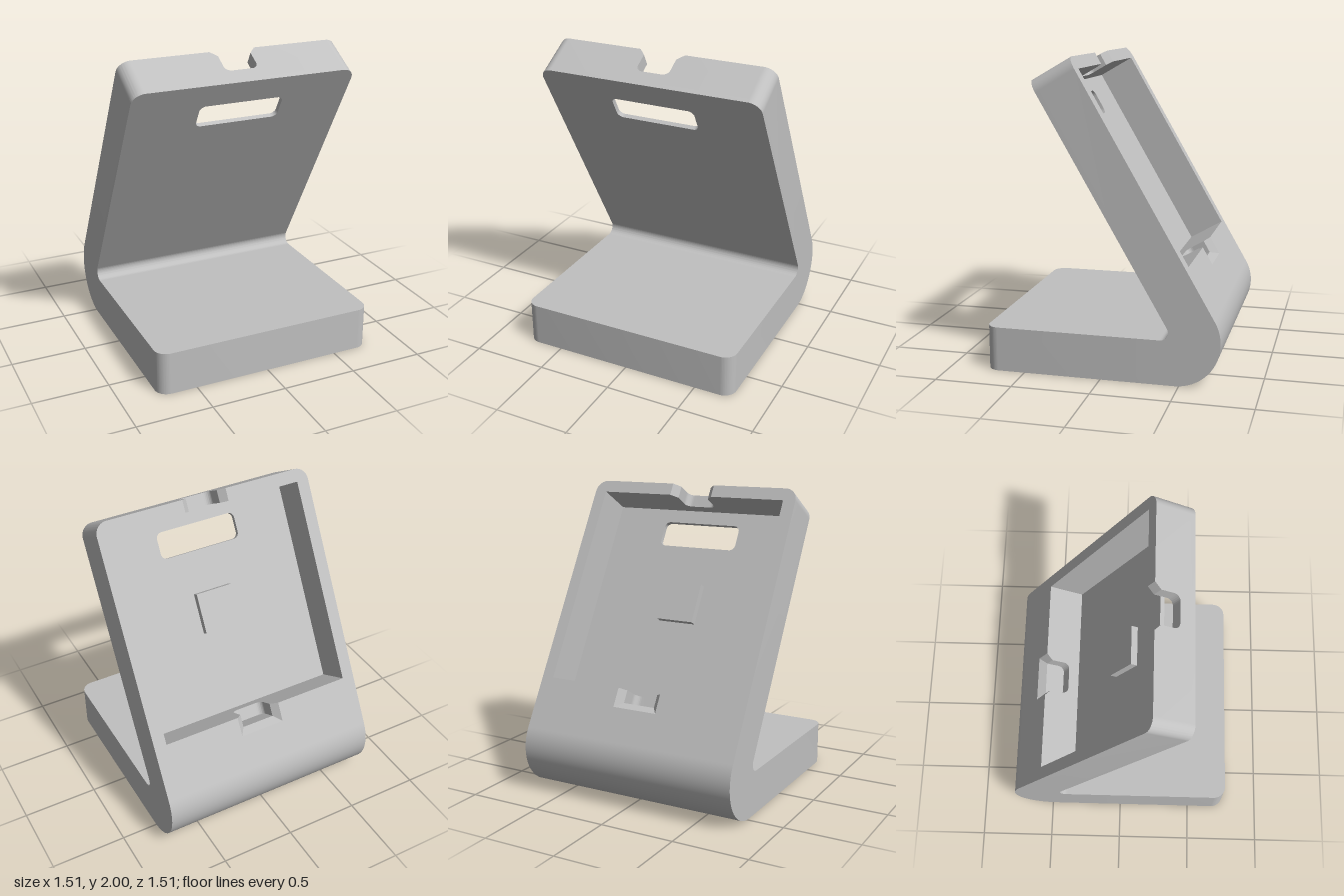
import * as THREE from 'three';
import { toCreasedNormals } from 'three/addons/utils/BufferGeometryUtils.js';

const T = 0.287;            // slab thickness
const W = 0.757;            // half width
const L = 1.812;            // panel length measured from the bend
const R = 0.083;            // outer corner radius
const BEND = 0.47;          // bend centre lies at z = -BEND
const S0 = 0.09;            // where the straight panel begins
const SKIN = 0.03;          // thin front wall of the panel
const P = { x: 0.673, lo: 0.357, hi: 1.728 };                     // rear pocket
const N = { x: 0.112, wide: 0.155, floor: 0.108, neck: 0.243, end: 0.228 }; // notches

export function createModel() {
  const grey = new THREE.MeshStandardMaterial({ color: 0xc0c0c0 });
  grey.name = 'grey plastic';

  const extrude = (shape, depth) => new THREE.ExtrudeGeometry(shape, { depth, bevelEnabled: false, curveSegments: 24 });
  const polygon = (pts) => new THREE.Shape(pts.map(([x, y]) => new THREE.Vector2(x, y)));
  const add = (parent, name, geometry) => {
    const mesh = new THREE.Mesh(toCreasedNormals(geometry, 0.5), grey);
    mesh.name = name;
    parent.add(mesh);
  };
  // Slab spanning y0..y1 with its two far corners rounded
  const roundedEnd = (y0, y1) => {
    const s = new THREE.Shape();
    s.moveTo(-W, y0);
    s.lineTo(W, y0);
    s.lineTo(W, y1 - R);
    s.absarc(W - R, y1 - R, R, 0, Math.PI / 2, false);
    s.lineTo(-W + R, y1);
    s.absarc(-W + R, y1 - R, R, Math.PI / 2, Math.PI, false);
    s.closePath();
    return s;
  };
  // Side profile extruded across x: profile x runs backwards, y runs up
  const across = (shape, half) => extrude(shape, half * 2).rotateY(Math.PI / 2).translate(-half, 0, 0);

  const model = new THREE.Group();
  model.name = 'stand';

  // Base plate with rounded front corners
  const base = roundedEnd(-0.38, W);
  add(model, 'base', extrude(base, T).rotateX(Math.PI / 2).translate(0, T, 0));

  // Bend joining base and panel, with the small inner fillet
  const c = Math.cos(Math.PI / 6);
  const bend = new THREE.Shape();
  bend.moveTo(0.38, 0);
  bend.lineTo(BEND, 0);
  bend.absarc(BEND, T, T, -Math.PI / 2, Math.PI / 6, false);
  bend.lineTo(BEND - S0 / 2 + T * c, T + S0 * c + T / 2);
  bend.lineTo(BEND - S0 / 2, T + S0 * c);
  bend.absarc(0.38, T + 0.052, 0.052, Math.PI / 6, -Math.PI / 2, true);
  bend.closePath();
  add(model, 'bend', across(bend, W));

  // Leaning panel: local y runs up the slope, local -z is depth from the front
  const panel = new THREE.Group();
  panel.name = 'panel';
  panel.position.set(0, T, -BEND);
  panel.rotation.x = Math.PI / 6;
  model.add(panel);

  // Front skin with the rounded slot
  const skin = roundedEnd(S0, L);
  const slot = new THREE.Path();
  const sx = 0.287, s0 = 1.458, s1 = 1.635, r = 0.04;
  slot.absarc(sx - r, s1 - r, r, 0, Math.PI / 2, false);
  slot.absarc(-sx + r, s1 - r, r, Math.PI / 2, Math.PI, false);
  slot.absarc(-sx + r, s0 + r, r, Math.PI, Math.PI * 1.5, false);
  slot.absarc(sx - r, s0 + r, r, Math.PI * 1.5, Math.PI * 2, false);
  slot.closePath();
  skin.holes.push(slot);
  add(panel, 'frontSkin', extrude(skin, SKIN).translate(0, 0, -SKIN));

  // Two mirrored C-shaped halves of the pocket frame
  for (const [side, name] of [[1, 'leftFrame'], [-1, 'rightFrame']]) {
    const pts = [[N.wide, S0], [W, S0]];
    for (let i = 0; i <= 16; i++) {
      const a = (i / 16) * Math.PI / 2;
      pts.push([W - R + R * Math.cos(a), L - R + R * Math.sin(a)]);
    }
    pts.push([N.wide, L], [N.wide, P.hi], [P.x, P.hi], [P.x, P.lo], [N.wide, P.lo]);
    const half = polygon(pts.map(([x, y]) => [x * side, y]));
    add(panel, name, extrude(half, T - SKIN).translate(0, 0, -T));
  }

  // Cable notches: rounded floor, flared mouth
  const notch = new THREE.Shape();
  const q = 0.043;
  notch.moveTo(-N.wide, SKIN);
  notch.lineTo(N.wide, SKIN);
  notch.lineTo(N.wide, T);
  notch.lineTo(N.x, N.neck);
  notch.lineTo(N.x, N.floor + q);
  notch.absarc(N.x - q, N.floor + q, q, 0, -Math.PI / 2, true);
  notch.lineTo(-N.x + q, N.floor);
  notch.absarc(-N.x + q, N.floor + q, q, -Math.PI / 2, -Math.PI, true);
  notch.lineTo(-N.x, N.neck);
  notch.lineTo(-N.wide, T);
  notch.closePath();
  for (const [name, a, b] of [['topNotch', P.hi, L], ['bottomNotch', N.end, P.lo]]) {
    add(panel, name, extrude(notch, b - a).rotateX(-Math.PI / 2).translate(0, a, 0));
  }

  // Closed, chamfered end of the bottom notch
  const end = N.end + T - N.neck;
  const plug = polygon([[SKIN, S0], [T, S0], [T, N.end], [N.neck, end], [SKIN, end]]);
  add(panel, 'bottomNotchEnd', across(plug, N.wide));

  // Raised square pad on the pocket floor
  add(panel, 'pad', new THREE.BoxGeometry(0.265, 0.27, 0.05).translate(0, 1.047, -0.051));

  return model;
}
